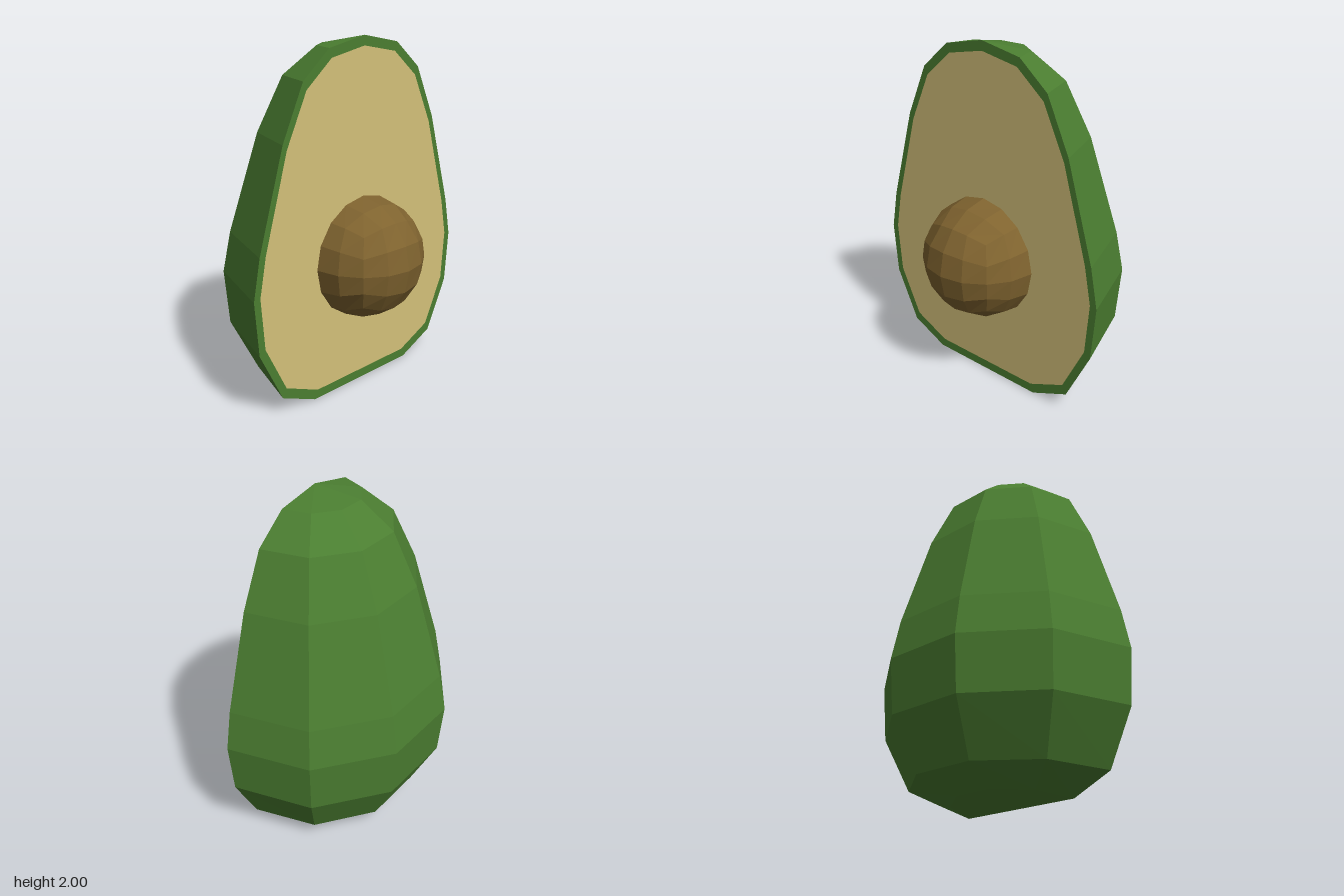
import * as THREE from 'three';

const CUT_Z = 0.197; // plane of the cut face

const skin = new THREE.MeshStandardMaterial({ color: 0x4b7e31 });
skin.name = 'greenSkin';
const flesh = new THREE.MeshStandardMaterial({ color: 0xd3c079 });
flesh.name = 'paleFlesh';
const stone = new THREE.MeshStandardMaterial({ color: 0x7f632f });
stone.name = 'brownStone';

// Half outlines (radius, height), from bottom to top
const outer = [[0.375, 0], [0.61, 0.105], [0.76, 0.41], [0.785, 0.72], [0.74, 0.95],
  [0.575, 1.5], [0.435, 1.8], [0.255, 1.95], [0, 2]];
const inner = [[0.355, 0.053], [0.583, 0.155], [0.72, 0.435], [0.743, 0.73], [0.7, 0.95],
  [0.548, 1.47], [0.412, 1.755], [0.238, 1.9], [0, 1.945]];

// Mirrors a half outline into a closed loop of points
function loop(half) {
  const mirrored = half.slice(0, -1).reverse().map(([x, y]) => [-x, y]);
  return [...half, ...mirrored].map(([x, y]) => new THREE.Vector2(x, y));
}

// Gives every face its own flat normal
function faceted(geometry) {
  const flat = geometry.toNonIndexed();
  flat.computeVertexNormals();
  return flat;
}

function part(name, geometry, material) {
  const mesh = new THREE.Mesh(geometry, material);
  mesh.name = name;
  return mesh;
}

// Half-turned body with a base that rises slightly toward the back
function skinGeometry() {
  const profile = [[0, 0], ...outer].map(([r, y]) => new THREE.Vector2(r, y));
  const geometry = new THREE.LatheGeometry(profile, 5, Math.PI / 2, Math.PI);
  const p = geometry.attributes.position;
  for (let i = 0; i < p.count; i++) {
    const y = p.getY(i);
    if (y < 0.2) p.setY(i, y - p.getZ(i) * 0.084 * (1 - y / 0.13));
  }
  return faceted(geometry);
}

// Front half of a sphere made by rounding a subdivided box
function stoneGeometry(radius) {
  const box = new THREE.BoxGeometry(2, 2, 1, 4, 4, 2).translate(0, 0, 0.5);
  box.setIndex(Array.from(box.index.array).slice(0, box.groups[5].start)); // open back
  box.clearGroups();
  const p = box.attributes.position;
  const v = new THREE.Vector3();
  const bend = (t) => Math.tan(t * Math.PI / 4);
  for (let i = 0; i < p.count; i++) {
    v.fromBufferAttribute(p, i);
    v.set(bend(v.x), bend(v.y), bend(v.z)).setLength(radius);
    p.setXYZ(i, v.x, v.y, v.z);
  }
  return faceted(box);
}

export function createModel() {
  const group = new THREE.Group();
  group.name = 'halvedFruit';

  const body = part('skin', skinGeometry(), skin);

  // Cut face: skin rim around the flesh, both in one plane
  const rimShape = new THREE.Shape(loop(outer));
  rimShape.holes.push(new THREE.Path(loop(inner)));
  const rim = part('rim', new THREE.ShapeGeometry(rimShape), skin);
  const cut = part('flesh', new THREE.ShapeGeometry(new THREE.Shape(loop(inner))), flesh);

  const pit = part('stone', stoneGeometry(0.35), stone);
  pit.position.y = 0.775;

  group.add(body, rim, cut, pit);
  for (const child of group.children) child.position.z = CUT_Z;
  return group;
}
